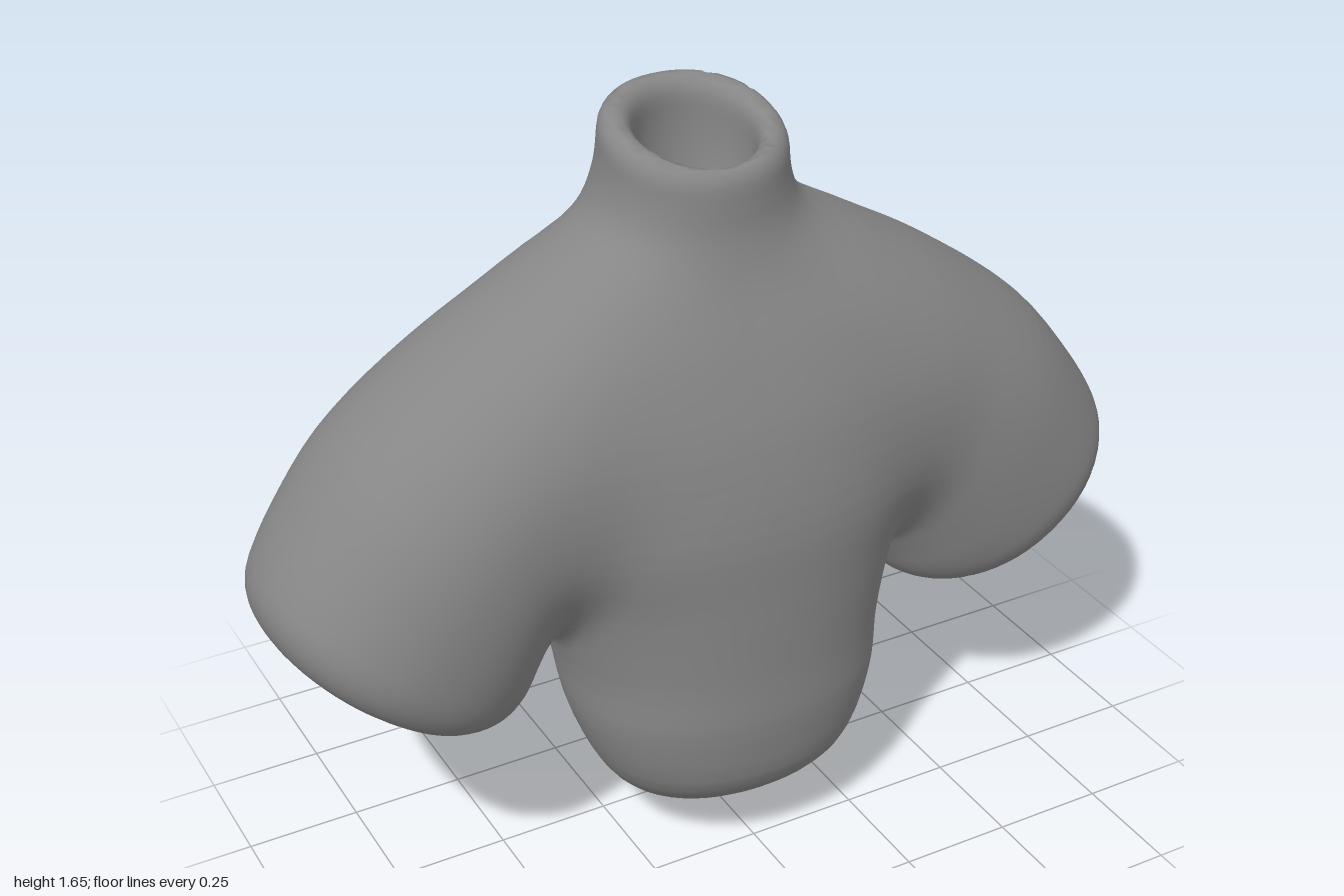
import * as THREE from 'three';

const STEP = 0.022; // grid spacing of the skin
const MIN = [-1.056, -0.05, -0.418];
const SIZE = [97, 81, 39];

// Smooth interpolation of every number in a list of key sections
function refine(sections, steps = 4) {
  const columns = sections[0].map((_, k) =>
    new THREE.SplineCurve(sections.map((s, i) => new THREE.Vector2(i, s[k]))));
  const count = (sections.length - 1) * steps;
  return Array.from({ length: count + 1 }, (_, i) => columns.map((c) => c.getPoint(i / count).y));
}

// Rounded maximum and minimum of two fields
const smoothMax = (a, b, k) => Math.max(a, b) + (Math.max(k - Math.abs(a - b), 0) ** 2) / (4 * k);
const smoothMin = (a, b, k) => -smoothMax(-a, -b, k);

// Field of a solid swept through sections [a0, y0, a1, y1, p0, p1]: two opposite
// points in a plane and the extents p0, p1 across it. Negative inside.
function sweptField(sections, turn, capRound) {
  const rings = refine(sections);
  const side = ([a0, y0, a1, y1], a, y) =>
    (turn * ((a0 - a1) * (y - y1) - (y0 - y1) * (a - a1))) / Math.hypot(a0 - a1, y0 - y1);
  const last = rings.length - 1;
  return (a, y, p) => {
    let i = 0;
    while (i < last - 1 && side(rings[i + 1], a, y) >= 0) i++;
    const s0 = side(rings[i], a, y);
    const s1 = side(rings[i + 1], a, y);
    const t = s0 <= 0 ? 0 : s1 >= 0 ? 1 : s0 / (s0 - s1);
    const [a0, y0, a1, y1, p0, p1] = rings[i].map((v, k) => v + (rings[i + 1][k] - v) * t);
    const half = Math.hypot(a0 - a1, y0 - y1) / 2;
    const width = (p0 - p1) / 2;
    const u = ((a - (a0 + a1) / 2) * (a0 - a1) + (y - (y0 + y1) / 2) * (y0 - y1)) / (2 * half * half);
    const v = (p - (p0 + p1) / 2) / width;
    const r = (Math.abs(u) ** 2.15 + Math.abs(v) ** 2.15) ** (1 / 2.15);
    const tube = Math.max((r - 1) * Math.min(half, width), -side(rings[0], a, y));
    return smoothMax(tube, side(rings[last], a, y), capRound);
  };
}

// Body from the bottom tip to the neck rim: [front z, front y, back z, back y, half width]
const bodyField = sweptField([
  [0.02, 0.0, -0.025, 0.0, 0.025],
  [0.085, 0.03, -0.068, 0.03, 0.11],
  [0.19, 0.09, -0.1, 0.09, 0.195],
  [0.325, 0.2, -0.147, 0.2, 0.29],
  [0.36, 0.35, -0.2, 0.35, 0.35],
  [0.36, 0.5, -0.25, 0.5, 0.373],
  [0.36, 0.68, -0.305, 0.68, 0.43],
  [0.355, 0.85, -0.34, 0.85, 0.53],
  [0.318, 1.03, -0.345, 1.03, 0.58],
  [0.258, 1.18, -0.315, 1.18, 0.5],
  [0.2, 1.31, -0.28, 1.31, 0.36],
  [0.165, 1.41, -0.245, 1.41, 0.245],
  [0.155, 1.48, -0.215, 1.53, 0.2],
  [0.15, 1.565, -0.2, 1.665, 0.192],
].map(([zf, yf, zb, yb, w]) => [zf, yf, zb, yb, w, -w]), 1, 0.05);

// Sleeve from the chest to the cuff: [top x, top y, bottom x, bottom y, front z, back z]
const sleeveField = sweptField([
  [0.0, 1.32, 0.0, 0.66, 0.24, -0.31],
  [0.25, 1.365, 0.27, 0.65, 0.25, -0.32],
  [0.45, 1.295, 0.365, 0.63, 0.27, -0.335],
  [0.63, 1.19, 0.41, 0.58, 0.28, -0.354],
  [0.8, 1.06, 0.43, 0.52, 0.285, -0.354],
  [0.92, 0.915, 0.46, 0.455, 0.282, -0.338],
  [0.985, 0.81, 0.51, 0.415, 0.275, -0.315],
  [1.01, 0.735, 0.565, 0.395, 0.265, -0.3],
  [1.005, 0.69, 0.6, 0.385, 0.255, -0.29],
], -1, 0.12);

// Ellipsoid hollows in the neck and in the cuff, the latter tilted along the arm
const neckHollow = (x, y, z) =>
  (Math.hypot(x / 0.125, (y - 1.56) / 0.28, (z + 0.02) / 0.125) - 1) * 0.125;
const cuffHollow = (x, y, z) => {
  const along = 0.6 * (x - 0.71) - 0.8 * (y - 0.65);
  const across = 0.8 * (x - 0.71) + 0.6 * (y - 0.65);
  return (Math.hypot(along / 0.24, across / 0.12, (z + 0.03) / 0.13) - 1) * 0.12;
};

// Whole figure, mirrored about x = 0
function field(px, y, z) {
  const x = Math.abs(px);
  const solid = smoothMin(bodyField(z, y, x), sleeveField(x, y, z), 0.09);
  return smoothMax(smoothMax(solid, -neckHollow(x, y, z), 0.05), -cuffHollow(x, y, z), 0.09);
}

function gradient([x, y, z], e = 0.006) {
  return [
    field(x + e, y, z) - field(x - e, y, z),
    field(x, y + e, z) - field(x, y - e, z),
    field(x, y, z + e) - field(x, y, z - e),
  ].map((v) => v / (2 * e));
}

// Skin the field: one vertex per crossed cell, one quad per crossed grid edge
function skin() {
  const [nx, ny, nz] = SIZE;
  const stride = [1, nx, nx * ny];
  const values = new Float32Array(nx * ny * nz);
  const corner = (id) => [id % nx, Math.floor(id / nx) % ny, Math.floor(id / stride[2])];
  const point = (id) => corner(id).map((c, k) => MIN[k] + c * STEP);
  for (let id = 0; id < values.length; id++) values[id] = field(...point(id));

  const cellVertex = new Map();
  const positions = [];
  const normals = [];
  // Place the vertex of a cell at the mean crossing, then settle it on the surface
  function vertex(cell) {
    if (cellVertex.has(cell)) return cellVertex.get(cell);
    const sum = [0, 0, 0];
    let count = 0;
    for (let axis = 0; axis < 3; axis++) {
      const s1 = stride[(axis + 1) % 3];
      const s2 = stride[(axis + 2) % 3];
      for (const from of [cell, cell + s1, cell + s2, cell + s1 + s2]) {
        const a = values[from];
        const b = values[from + stride[axis]];
        if (a < 0 === b < 0) continue;
        const p = point(from);
        p[axis] += (STEP * a) / (a - b);
        p.forEach((v, k) => { sum[k] += v; });
        count++;
      }
    }
    let p = sum.map((v) => v / count);
    for (let n = 0; n < 2; n++) {
      const g = gradient(p);
      const move = field(...p) / Math.max(g[0] ** 2 + g[1] ** 2 + g[2] ** 2, 0.05);
      p = p.map((v, k) => v - THREE.MathUtils.clamp(move * g[k], -STEP / 2, STEP / 2));
    }
    positions.push(...p);
    normals.push(...new THREE.Vector3(...gradient(p, 0.012)).normalize().toArray());
    cellVertex.set(cell, positions.length / 3 - 1);
    return positions.length / 3 - 1;
  }

  const index = [];
  for (let id = 0; id < values.length; id++) {
    const c = corner(id);
    for (let axis = 0; axis < 3; axis++) {
      if (c[axis] === SIZE[axis] - 1) continue;
      const inside = values[id] < 0;
      if (inside === values[id + stride[axis]] < 0) continue;
      const s1 = stride[(axis + 1) % 3];
      const s2 = stride[(axis + 2) % 3];
      const quad = [id - s1 - s2, id - s2, id, id - s1].map(vertex);
      if (!inside) quad.reverse();
      index.push(quad[0], quad[1], quad[2], quad[0], quad[2], quad[3]);
    }
  }
  const geometry = new THREE.BufferGeometry();
  geometry.setAttribute('position', new THREE.Float32BufferAttribute(positions, 3));
  geometry.setAttribute('normal', new THREE.Float32BufferAttribute(normals, 3));
  geometry.setIndex(index);
  return geometry;
}

export function createModel() {
  const model = new THREE.Group();
  model.name = 'torso';
  const mesh = new THREE.Mesh(skin(), new THREE.MeshStandardMaterial({ color: 0x868686 }));
  mesh.name = 'bodyWithSleeves';
  model.add(mesh);
  return model;
}
